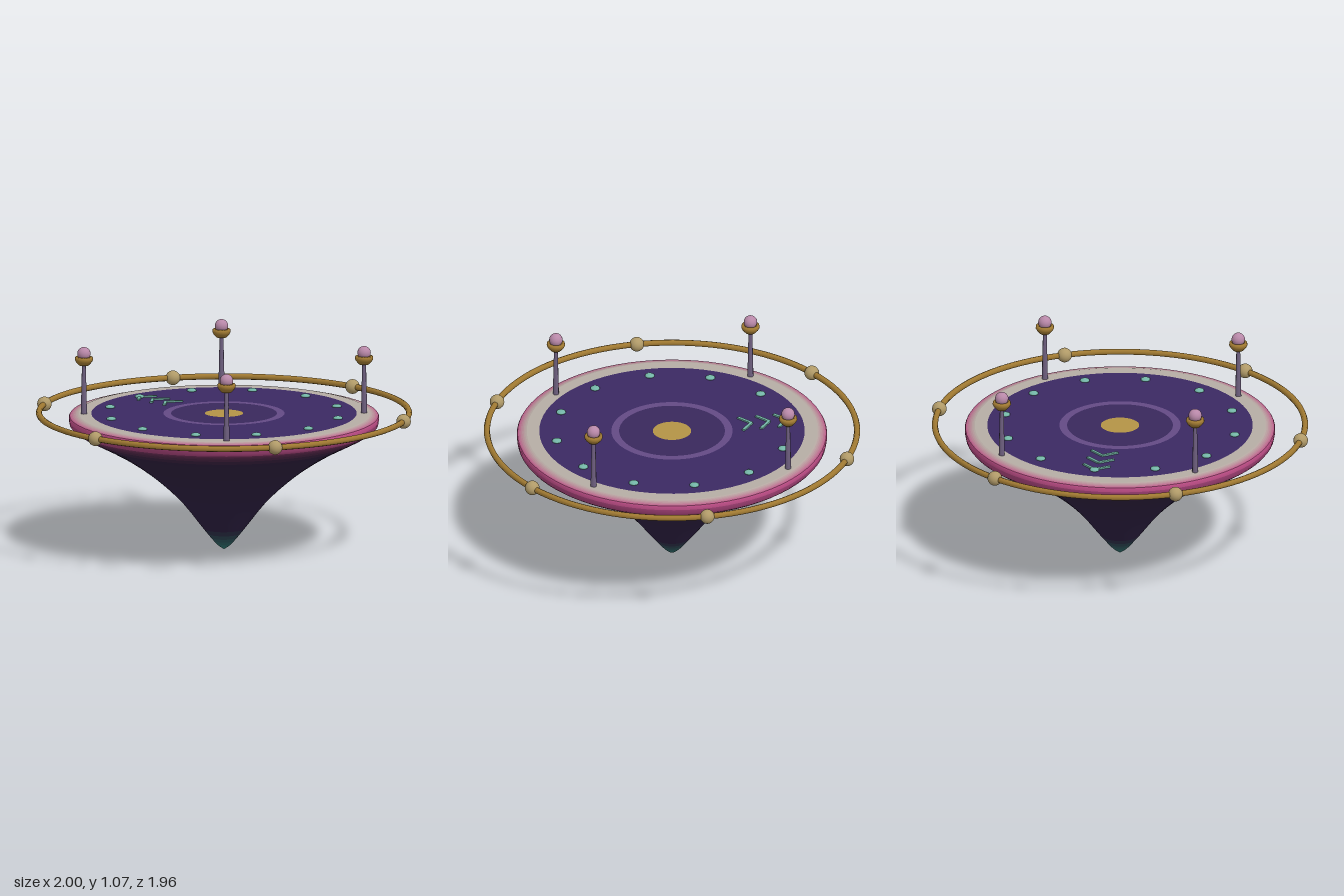
import * as THREE from 'three';

const DECK_Y = 0.725;
const v2 = (x, y) => new THREE.Vector2(x, y);
const mat = (color) => new THREE.MeshStandardMaterial({ color });

function add(parent, name, geometry, material, x = 0, y = 0, z = 0) {
  const mesh = new THREE.Mesh(geometry, material);
  mesh.name = name;
  mesh.position.set(x, y, z);
  parent.add(mesh);
  return mesh;
}

// Revolved strip; points run up the outside, then inwards over the top
const lathe = (parent, name, points, color, segments = 72) =>
  add(parent, name, new THREE.LatheGeometry(points.map((p) => v2(...p)), segments), mat(color));

// Strips along a profile whose colour blends from one end to the other
function blend(parent, name, profile, from, to, t0, t1, steps) {
  for (let i = 0; i < steps; i++) {
    const points = [];
    for (let j = 0; j <= 4; j++) {
      const p = profile.getPoint(t0 + ((t1 - t0) * (i + j / 4)) / steps);
      points.push([Math.max(p.x, 0), p.y]);
    }
    const color = new THREE.Color(from).lerp(new THREE.Color(to), (i + 0.5) / steps);
    lathe(parent, name, points, color);
  }
}

export function createModel() {
  const model = new THREE.Group();
  model.name = 'floatingArena';

  const gold = mat(0xa17a32);
  const paleGold = mat(0xb09a68);
  const teal = mat(0x73b5a6);
  const pink = mat(0xb888a8);
  const postGrey = mat(0x6f6080);

  // Tapered hull hanging under the deck
  const hull = new THREE.Group();
  hull.name = 'hull';
  model.add(hull);
  const hullProfile = new THREE.SplineCurve([
    v2(0, 0.005), v2(0.04, 0.035), v2(0.107, 0.115), v2(0.228, 0.267),
    v2(0.38, 0.405), v2(0.55, 0.52), v2(0.74, 0.62), v2(0.79, 0.652),
  ]);
  blend(hull, 'hullTip', hullProfile, 0x2f8a80, 0x2c1f42, 0, 2 / 7, 8);
  blend(hull, 'hullSide', hullProfile, 0x2c1f42, 0x30203f, 2 / 7, 5.6 / 7, 3);
  blend(hull, 'hullShoulder', hullProfile, 0x30203f, 0x7a3460, 5.6 / 7, 1, 5);

  // Rim and bevelled edge of the deck
  const rim = new THREE.Group();
  rim.name = 'rim';
  model.add(rim);
  lathe(rim, 'rimLower', [[0.79, 0.652], [0.802, 0.667], [0.806, 0.69]], 0xa8437a);
  lathe(rim, 'rimUpper', [[0.806, 0.69], [0.807, 0.706], [0.803, 0.713]], 0xc04e88);
  const bevel = new THREE.LineCurve(v2(0.803, 0.713), v2(0.755, DECK_Y));
  blend(rim, 'rimBevel', bevel, 0xb84d84, 0xb5ada4, 0, 1, 6);

  // Flat coloured rings of the deck: outer radius, inner radius, colour
  const deck = new THREE.Group();
  deck.name = 'deck';
  model.add(deck);
  [
    ['borderRing', 0.755, 0.69, 0xb5ada4],
    ['outerFloor', 0.69, 0.315, 0x3b2962],
    ['innerRing', 0.315, 0.275, 0x634a84],
    ['innerFloor', 0.275, 0.1, 0x39285c],
    ['centreDisc', 0.1, 0, 0xb39346],
  ].forEach(([name, outer, inner, color]) =>
    lathe(deck, name, [[outer, DECK_Y], [inner, DECK_Y]], color));

  // Low studs around the deck
  const studGeo = new THREE.SphereGeometry(0.025, 16, 10);
  studGeo.scale(1, 0.45, 1);
  for (let i = 0; i < 12; i++) {
    const a = (i * Math.PI) / 6;
    add(model, 'deckStud', studGeo, teal, 0.61 * Math.sin(a), DECK_Y + 0.004, 0.61 * Math.cos(a));
  }

  // Three chevrons pointing to the back
  const armGeo = new THREE.BoxGeometry(0.092, 0.008, 0.016);
  for (const tip of [-0.61, -0.517, -0.423]) {
    for (const side of [-1, 1]) {
      const arm = add(model, 'chevronArm', armGeo, teal, side * 0.034, DECK_Y + 0.004, tip + 0.03);
      arm.rotation.y = -side * 0.68;
    }
  }

  // Four lamp posts with cups and globes
  const postGeo = new THREE.CylinderGeometry(0.01, 0.016, 0.265, 8);
  const cupGeo = new THREE.LatheGeometry([
    v2(0, 0.982), v2(0.026, 0.982), v2(0.042, 1.0), v2(0.048, 1.012),
    v2(0.046, 1.025), v2(0.034, 1.027), v2(0.026, 1.015), v2(0, 1.012),
  ], 20);
  const globeGeo = new THREE.SphereGeometry(0.035, 20, 14);
  for (const x of [-0.515, 0.515]) {
    for (const z of [-0.515, 0.515]) {
      const lamp = new THREE.Group();
      lamp.name = 'lampPost';
      lamp.position.set(x, 0, z);
      add(lamp, 'post', postGeo, postGrey, 0, DECK_Y + 0.132, 0);
      add(lamp, 'cup', cupGeo, gold);
      add(lamp, 'globe', globeGeo, pink, 0, 1.043, 0);
      model.add(lamp);
    }
  }

  // Floating outer ring with six beads
  const ringGeo = new THREE.TorusGeometry(0.962, 0.016, 8, 96);
  ringGeo.rotateX(Math.PI / 2);
  add(model, 'outerRing', ringGeo, gold, 0, 0.728, 0);
  const beadGeo = new THREE.SphereGeometry(0.038, 20, 14);
  for (let i = 0; i < 6; i++) {
    const a = (i * Math.PI) / 3;
    add(model, 'ringBead', beadGeo, paleGold, 0.962 * Math.cos(a), 0.728, 0.962 * Math.sin(a));
  }

  return model;
}
